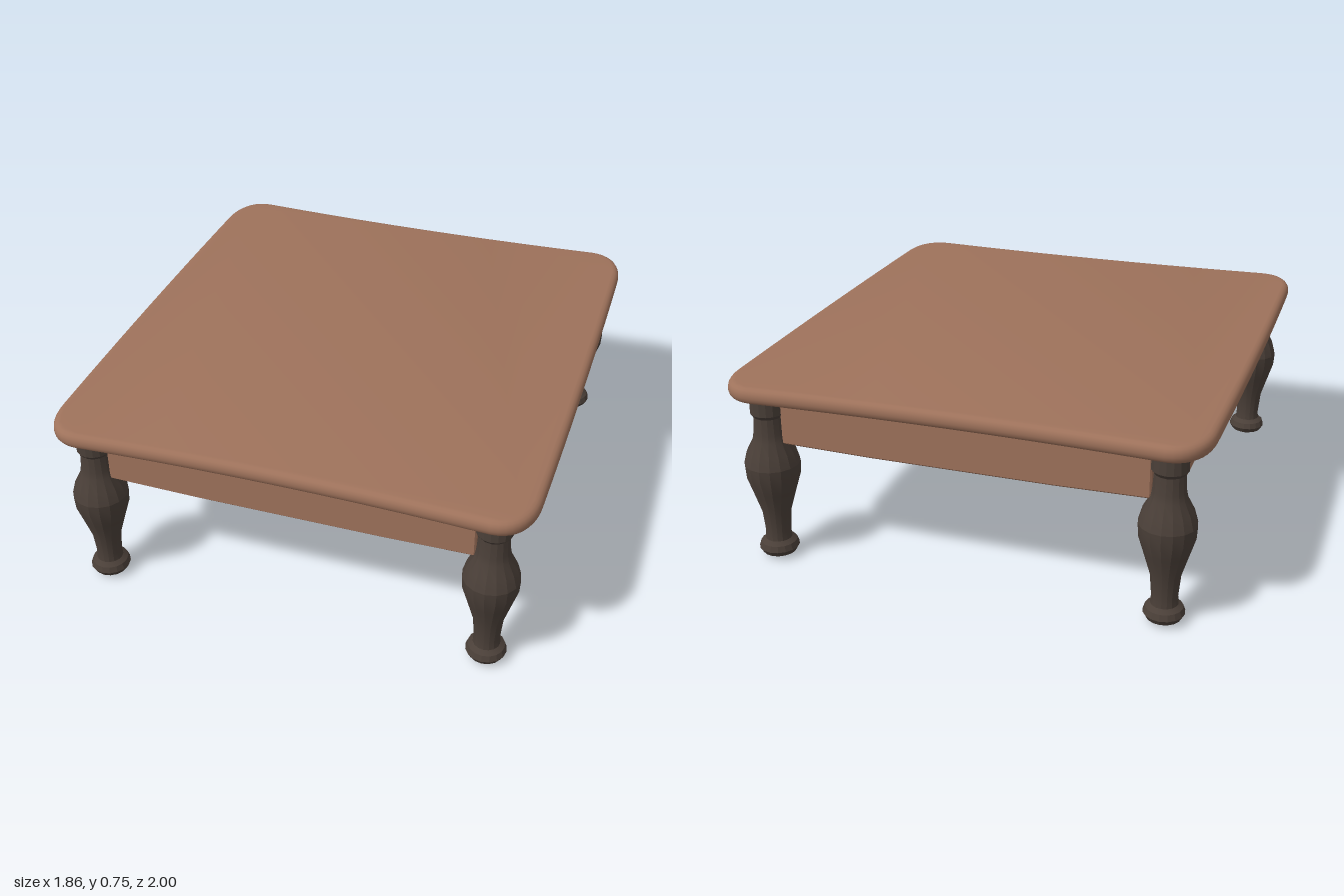
import * as THREE from 'three';
import { toCreasedNormals } from 'three/addons/utils/BufferGeometryUtils.js';

const LEG_X = 0.775, LEG_Z = 0.865;
const TOP_Y = 0.69, TOP_HEIGHT = 0.065;

// Rounded slab outline: sides nearly straight, front and back dipping inward
function topShape() {
  const s = new THREE.Shape();
  s.moveTo(-0.78, -0.995);
  s.quadraticCurveTo(0, -0.95, 0.78, -0.995);
  s.bezierCurveTo(0.88, -0.995, 0.925, -0.91, 0.925, -0.8);
  s.quadraticCurveTo(0.937, 0, 0.925, 0.8);
  s.bezierCurveTo(0.925, 0.91, 0.88, 1, 0.78, 1);
  s.quadraticCurveTo(0, 0.955, -0.78, 1);
  s.bezierCurveTo(-0.88, 1, -0.925, 0.91, -0.925, 0.8);
  s.quadraticCurveTo(-0.94, 0, -0.925, -0.8);
  s.bezierCurveTo(-0.925, -0.91, -0.88, -0.995, -0.78, -0.995);
  return s;
}

function topGeometry() {
  const bevel = 0.028;
  const geo = new THREE.ExtrudeGeometry(topShape(), {
    depth: TOP_HEIGHT - 2 * bevel, bevelThickness: bevel, bevelSize: bevel,
    bevelOffset: -bevel, bevelSegments: 4, curveSegments: 10,
  });
  geo.rotateX(-Math.PI / 2);
  geo.translate(0, TOP_Y + bevel, 0);
  return toCreasedNormals(geo, 0.5);
}

// Turned leg: [radius, height] from foot to top
function legGeometry() {
  const profile = [
    [0, 0.005], [0.035, 0.007], [0.066, 0.022], [0.078, 0.043], [0.07, 0.066],
    [0.052, 0.08], [0.049, 0.11], [0.057, 0.2], [0.084, 0.29], [0.104, 0.355],
    [0.107, 0.405], [0.093, 0.455], [0.067, 0.505], [0.061, 0.535],
    [0.057, 0.6], [0.068, 0.615], [0.066, 0.7],
  ].map(([r, y]) => new THREE.Vector2(r, y));
  return toCreasedNormals(new THREE.LatheGeometry(profile, 16), 0.3);
}

// Apron board along x, its lower edge sagging slightly in the middle
function apronGeometry(halfLength, sag) {
  const s = new THREE.Shape();
  s.moveTo(-halfLength, 0.7);
  s.lineTo(-halfLength, 0.495);
  s.lineTo(-halfLength * 0.5, 0.495 - sag);
  s.lineTo(halfLength * 0.5, 0.495 - sag);
  s.lineTo(halfLength, 0.495);
  s.lineTo(halfLength, 0.7);
  const geo = new THREE.ExtrudeGeometry(s, {
    depth: 0.03, bevelThickness: 0.006, bevelSize: 0.006,
    bevelOffset: -0.006, bevelSegments: 1,
  });
  return geo.translate(0, 0, -0.015);
}

export function createModel() {
  const wood = new THREE.MeshStandardMaterial({ color: 0x9e725b });
  wood.name = 'warmBrownWood';
  const darkWood = new THREE.MeshStandardMaterial({ color: 0x4a3f38 });
  darkWood.name = 'darkWood';

  const table = new THREE.Group();
  table.name = 'lowTable';
  const add = (name, geo, mat, x = 0, z = 0, turn = 0) => {
    const mesh = new THREE.Mesh(geo, mat);
    mesh.name = name;
    mesh.position.set(x, 0, z);
    mesh.rotation.y = turn;
    table.add(mesh);
  };

  add('tableTop', topGeometry(), wood);

  // Legs and aprons, mirrored on both axes
  const leg = legGeometry();
  const longApron = apronGeometry(0.8, 0.012);
  const shortApron = apronGeometry(0.715, 0.006);
  for (const [zName, zs] of [['front', 1], ['back', -1]]) {
    add(`${zName}Apron`, shortApron, wood, 0, zs * LEG_Z);
    for (const [xName, xs] of [['Left', 1], ['Right', -1]]) {
      add(`${zName}${xName}Leg`, leg, darkWood, xs * LEG_X, zs * LEG_Z);
    }
  }
  for (const [name, xs] of [['left', 1], ['right', -1]]) {
    add(`${name}Apron`, longApron, wood, xs * LEG_X, 0, Math.PI / 2);
  }
  return table;
}
